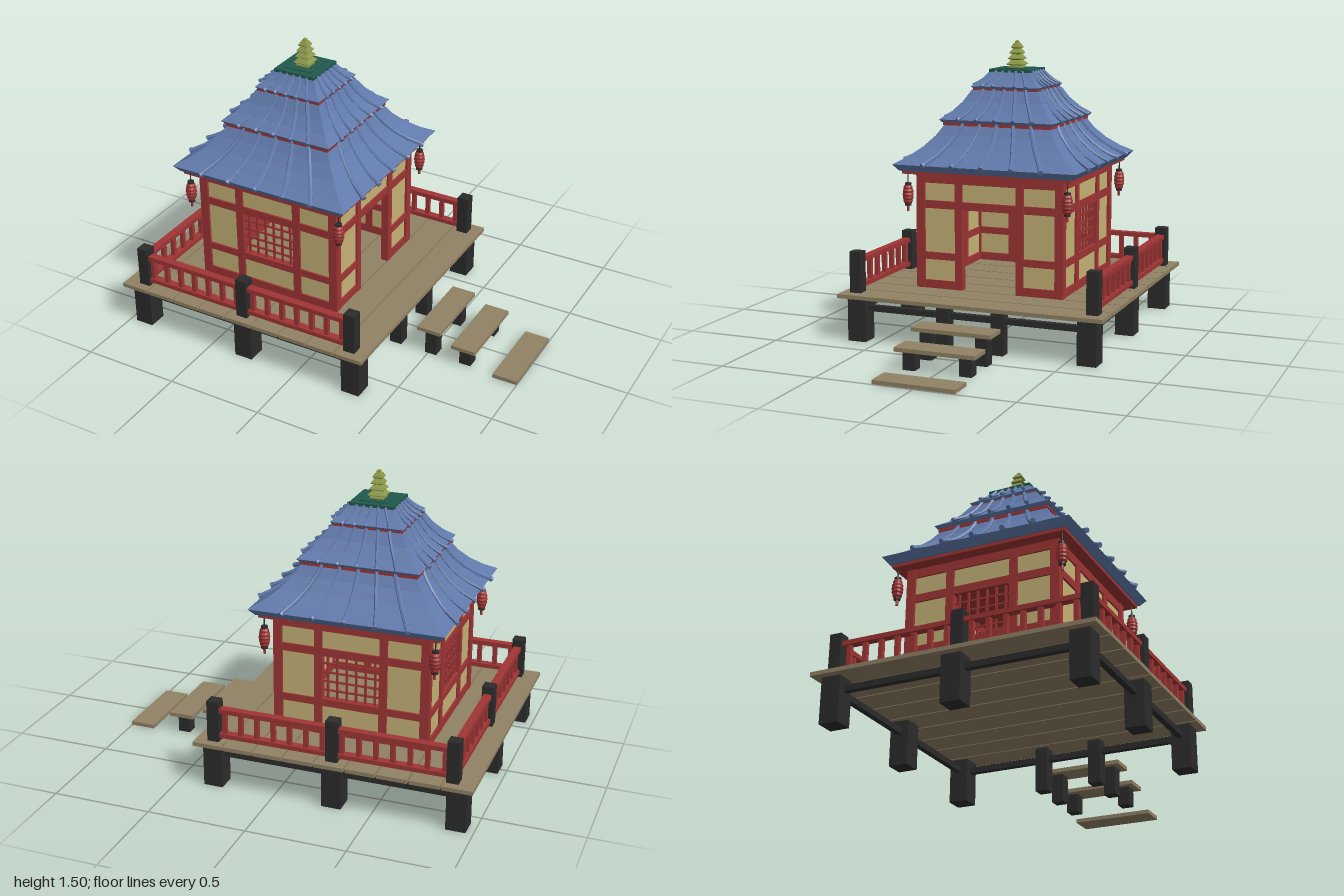
import * as THREE from 'three';

const mat = (color) => new THREE.MeshStandardMaterial({ color, flatShading: true, side: THREE.DoubleSide });
const RED = mat(0xa03535), BLUE = mat(0x6079aa), CREAM = mat(0xc8b478), WOOD = mat(0x918264);
const DARK = mat(0x2c2c2c), GREEN = mat(0x22594c), OLIVE = mat(0x8a9848);

function group(parent, name) {
  const g = new THREE.Group();
  g.name = name;
  parent.add(g);
  return g;
}

function add(parent, name, geometry, material) {
  const m = new THREE.Mesh(geometry, material);
  m.name = name;
  parent.add(m);
  return m;
}

// box given by its extents
function box(parent, name, material, x0, x1, y0, y1, z0, z1) {
  const m = add(parent, name, new THREE.BoxGeometry(x1 - x0, y1 - y0, z1 - z0), material);
  m.position.set((x0 + x1) / 2, (y0 + y1) / 2, (z0 + z1) / 2);
  return m;
}

// square post centred on x, z
const post = (parent, name, material, x, z, w, y0, y1) =>
  box(parent, name, material, x - w / 2, x + w / 2, y0, y1, z - w / 2, z + w / 2);

// four-sided solid from [half width, y] pairs, bottom to top
function squareLathe(parent, name, material, profile) {
  const points = profile.map(([r, y]) => new THREE.Vector2(r * Math.SQRT2, y));
  const geo = new THREE.LatheGeometry(points, 4, Math.PI / 4).toNonIndexed();
  geo.computeVertexNormals();
  return add(parent, name, geo, material);
}

function buildDeck(root) {
  const deck = group(root, 'deck');
  const pitch = 1.408 / 9;
  for (let i = 0; i < 9; i++) {
    const x = -1 + i * pitch;
    box(deck, 'plank', WOOD, x, x + pitch - 0.008, 0.225, 0.245, -0.7, 0.7);
  }
  // foundation posts and tie beams
  for (const z of [-0.61, 0.61]) {
    for (const x of [-0.915, -0.3, 0.315]) post(deck, 'foundationPost', DARK, x, z, 0.098, 0, 0.225);
    box(deck, 'tieBeam', DARK, -0.915, 0.315, 0.155, 0.185, z - 0.015, z + 0.015);
  }
  post(deck, 'foundationPost', DARK, -0.915, 0, 0.098, 0, 0.225);
  for (const z of [-0.145, 0.145]) post(deck, 'entrancePost', DARK, 0.315, z, 0.065, 0, 0.225);
  for (const x of [-0.915, 0.315]) box(deck, 'tieBeam', DARK, x - 0.015, x + 0.015, 0.155, 0.185, -0.61, 0.61);

  // steps
  for (const [x0, x1, top] of [[0.45, 0.578, 0.165], [0.64, 0.77, 0.115], [0.87, 1, 0.022]]) {
    box(deck, 'step', WOOD, x0, x1, top - 0.02, top, -0.207, 0.207);
    if (top > 0.1) for (const z of [-0.145, 0.145])
      post(deck, 'stepLeg', DARK, (x0 + x1) / 2, z, 0.062, 0, top - 0.02);
  }
}

// one railing bay of given length along local x
function railBay(parent, length, x, z, turn) {
  const bay = group(parent, 'railingBay');
  bay.position.set(x, 0, z);
  bay.rotation.y = turn;
  const h = length / 2;
  box(bay, 'topRail', RED, -h, h, 0.395, 0.418, -0.02, 0.02);
  box(bay, 'bottomRail', RED, -h, h, 0.265, 0.287, -0.02, 0.02);
  for (let i = -3; i <= 3; i++) post(bay, 'baluster', RED, i * 0.084, 0, 0.022, 0.28, 0.4);
}

function buildRailing(root) {
  const rail = group(root, 'railing');
  for (const z of [-0.628, 0.628]) {
    for (const x of [-0.892, -0.3, 0.31]) post(rail, 'railingPost', DARK, x, z, 0.06, 0.24, 0.456);
    railBay(rail, 0.6, -0.596, z, 0);
    railBay(rail, 0.61, 0.005, z, 0);
    railBay(rail, 0.628, -0.89, z / 2, Math.PI / 2);
  }
  post(rail, 'railingPost', DARK, -0.89, 0, 0.06, 0.24, 0.456);
}

// one timber wall facing local +z
function buildWall(house, name, turn, isDoor) {
  const wall = group(house, name);
  wall.rotation.y = turn;
  const z0 = 0.355, z1 = 0.395;
  for (const s of [-1, 1]) {
    const [a, b] = s < 0 ? [-0.36, -0.18] : [0.18, 0.36];
    box(wall, 'innerColumn', RED, s * 0.165 - 0.02, s * 0.165 + 0.02, 0.245, 0.8, z0, z1);
    box(wall, 'sidePanel', CREAM, a, b, 0.25, 0.8, 0.364, 0.384);
    box(wall, 'sillBeam', RED, a, b, 0.245, 0.287, z0, z1 - 0.002);
    box(wall, 'middleBeam', RED, a, b, 0.395, 0.432, z0, z1 - 0.002);
  }
  box(wall, 'lintelBeam', RED, -0.36, 0.36, 0.66, 0.7, z0, z1 - 0.002);
  box(wall, 'topBeam', RED, -0.39, 0.39, 0.79, 0.835, z0, z1 - 0.002);
  box(wall, 'upperPanel', CREAM, -0.15, 0.15, 0.69, 0.8, 0.364, 0.384);
  if (isDoor) return;
  box(wall, 'lowerPanel', CREAM, -0.15, 0.15, 0.25, 0.4, 0.364, 0.384);
  box(wall, 'sillBeam', RED, -0.15, 0.15, 0.245, 0.287, z0, z1 - 0.002);
  box(wall, 'middleBeam', RED, -0.15, 0.15, 0.395, 0.432, z0, z1 - 0.002);
  // window lattice
  for (let i = -2.5; i <= 2.5; i++)
    box(wall, 'latticeBar', RED, i * 0.048 - 0.005, i * 0.048 + 0.005, 0.43, 0.665, 0.37, 0.38);
  for (let i = 1; i <= 4; i++)
    box(wall, 'latticeBar', RED, -0.147, 0.147, 0.425 + i * 0.047, 0.434 + i * 0.047, 0.371, 0.379);
}

function buildHouse(house) {
  for (const x of [-0.374, 0.374]) for (const z of [-0.374, 0.374])
    post(house, 'cornerColumn', RED, x, z, 0.045, 0.245, 0.835);
  ['frontWall', 'entranceWall', 'backWall', 'sideWall'].forEach((n, i) =>
    buildWall(house, n, i * Math.PI / 2, i === 1));
  box(house, 'innerPanel', RED, -0.355, -0.345, 0.245, 0.4, -0.145, 0.145);
}

// eave lanterns
function buildLantern(parent, x, z) {
  const lantern = group(parent, 'lantern');
  lantern.position.set(x, 0, z);
  const cyl = (name, m, r, y0, y1) => {
    add(lantern, name, new THREE.CylinderGeometry(r, r, y1 - y0, 10), m).position.y = (y0 + y1) / 2;
  };
  cyl('cord', DARK, 0.003, 0.78, 0.845);
  cyl('cap', DARK, 0.017, 0.78, 0.79);
  cyl('base', DARK, 0.017, 0.673, 0.683);
  cyl('tassel', RED, 0.007, 0.645, 0.675);
  const profile = [new THREE.Vector2(0.015, 0.68)];
  for (let i = 0; i <= 10; i++) {
    const r = 0.029 - 0.009 * Math.pow(i / 5 - 1, 2) - (i % 2 ? 0 : 0.003);
    profile.push(new THREE.Vector2(r, 0.684 + i * 0.0094));
  }
  add(lantern, 'paperBody', new THREE.LatheGeometry(profile, 12), RED);
}

// one roof tier: curved hip shell plus fanned ribs on each side
function buildTier(parent, profile, thickness, ribRadius, spread) {
  const tier = group(parent, 'roofTier');
  const [r0, y0] = profile[0];
  squareLathe(tier, 'roofShell', BLUE, [[0, y0 - thickness], [r0 - thickness * 0.8, y0 - thickness], ...profile]);
  for (let side = 0; side < 4; side++) {
    const ribs = group(tier, 'roofRibs');
    ribs.rotation.y = side * Math.PI / 2;
    for (let i = -2; i <= 2; i++) {
      const pts = profile.map(([r, y]) => new THREE.Vector3(i * spread * r, y + 0.005, r));
      pts[0].z += 0.01;
      const curve = new THREE.CatmullRomCurve3(pts);
      add(ribs, 'rib', new THREE.TubeGeometry(curve, 8, ribRadius, 6), BLUE);
      const end = add(ribs, 'ribEnd', new THREE.CylinderGeometry(ribRadius * 1.2, ribRadius * 1.2, 0.014, 8), BLUE);
      end.position.copy(pts[0]);
      end.quaternion.setFromUnitVectors(new THREE.Vector3(0, 1, 0), curve.getTangent(0));
    }
  }
}

function buildRoof(house) {
  const roof = group(house, 'roof');
  box(roof, 'soffit', RED, -0.45, 0.45, 0.838, 0.857, -0.45, 0.45);
  buildTier(roof, [[0.488, 0.888], [0.43, 0.922], [0.37, 0.97], [0.32, 1.025], [0.285, 1.08]], 0.034, 0.011, 0.32);
  box(roof, 'tierTrim', RED, -0.293, 0.293, 1.075, 1.092, -0.293, 0.293);
  buildTier(roof, [[0.308, 1.105], [0.26, 1.142], [0.215, 1.192], [0.18, 1.25]], 0.014, 0.009, 0.32);
  box(roof, 'tierTrim', RED, -0.175, 0.175, 1.246, 1.258, -0.175, 0.175);
  buildTier(roof, [[0.183, 1.268], [0.15, 1.295], [0.125, 1.322], [0.112, 1.34]], 0.011, 0.007, 0.32);

  // cap and stacked finial
  box(roof, 'capSlab', GREEN, -0.113, 0.113, 1.336, 1.354, -0.113, 0.113);
  box(roof, 'capPlate', GREEN, -0.075, 0.075, 1.35, 1.358, -0.075, 0.075);
  const finial = [[0, 1.355], [0.036, 1.355], [0.034, 1.365]];
  for (let i = 0; i < 4; i++) {
    const y = 1.368 + i * 0.029, r = 0.043 - i * 0.006;
    finial.push([r * 0.65, y], [r, y + 0.005], [r, y + 0.009], [r * 0.6, y + 0.027]);
  }
  finial.push([0.01, 1.485], [0.009, 1.493], [0, 1.5]);
  squareLathe(roof, 'finial', OLIVE, finial);

  for (const x of [-0.428, 0.428]) for (const z of [-0.428, 0.428]) buildLantern(roof, x, z);
}

export function createModel() {
  const root = new THREE.Group();
  root.name = 'pavilion';
  buildDeck(root);
  buildRailing(root);
  const house = group(root, 'house');
  house.position.x = -0.3;
  buildHouse(house);
  buildRoof(house);
  return root;
}
